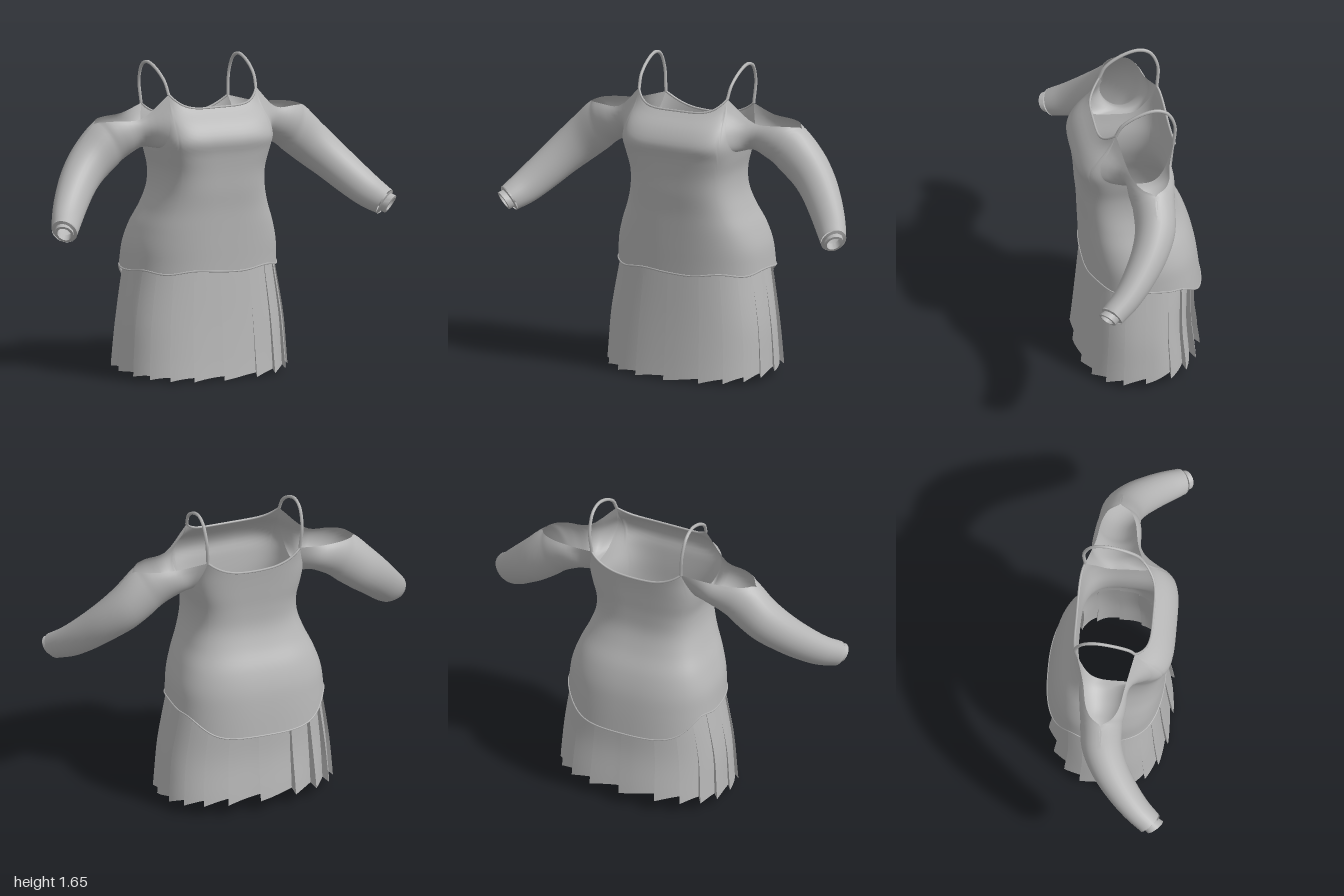
import * as THREE from 'three';
import { mergeVertices, toCreasedNormals } from 'three/addons/utils/BufferGeometryUtils.js';

const V = (x, y, z) => new THREE.Vector3(x, y, z);
const lerp = THREE.MathUtils.lerp;
const spow = (a, p) => Math.sign(a) * Math.pow(Math.abs(a), p);

// smooth interpolation in rows of [y, a, b, ...], sorted by y
function profile(rows, y) {
  if (y <= rows[0][0]) return rows[0].slice(1);
  for (let i = 1; i < rows.length; i++) {
    if (y > rows[i][0]) continue;
    const t = (y - rows[i - 1][0]) / (rows[i][0] - rows[i - 1][0]);
    return rows[i].slice(1).map((v, k) => {
      const at = (j) => rows[Math.min(Math.max(j, 0), rows.length - 1)];
      const slope = (j) => (at(j + 1)[k + 1] - at(j - 1)[k + 1]) / (at(j + 1)[0] - at(j - 1)[0]);
      const h = rows[i][0] - rows[i - 1][0], t2 = t * t, t3 = t2 * t;
      return (2 * t3 - 3 * t2 + 1) * at(i - 1)[k + 1] + (t3 - 2 * t2 + t) * h * slope(i - 1)
        + (3 * t2 - 2 * t3) * v + (t3 - t2) * h * slope(i);
    });
  }
  return rows[rows.length - 1].slice(1);
}

// surface through columns of points
function loft(columns, flip = false, crease = 0) {
  const n = columns[0].length, pos = [], idx = [];
  columns.forEach((c) => c.forEach((p) => pos.push(p.x, p.y, p.z)));
  for (let i = 0; i < columns.length - 1; i++) for (let j = 0; j < n - 1; j++) {
    const a = i * n + j, b = a + n;
    if (flip) idx.push(a, a + 1, b, b, a + 1, b + 1);
    else idx.push(a, b, a + 1, b, b + 1, a + 1);
  }
  let g = new THREE.BufferGeometry();
  g.setAttribute('position', new THREE.Float32BufferAttribute(pos, 3));
  g.setIndex(idx);
  g = mergeVertices(g, 1e-5);
  g.computeVertexNormals();
  return crease ? toCreasedNormals(g, crease) : g;
}

// bodice: y, half width, front z, back z, squareness
const BODY = [
  [0.42, 0.425, 0.275, -0.338, 0.8], [0.6, 0.412, 0.28, -0.318, 0.78], [0.7, 0.4, 0.284, -0.3, 0.75],
  [0.8, 0.367, 0.288, -0.265, 0.7], [0.9, 0.323, 0.293, -0.212, 0.66], [1.0, 0.292, 0.303, -0.176, 0.62],
  [1.1, 0.286, 0.31, -0.17, 0.58], [1.2, 0.305, 0.322, -0.175, 0.52], [1.27, 0.316, 0.335, -0.18, 0.5],
  [1.35, 0.312, 0.295, -0.188, 0.5], [1.43, 0.303, 0.215, -0.2, 0.5], [1.51, 0.3, 0.17, -0.2, 0.5],
];
const SKIRT = [
  [0.0, 0.465, 0.315, -0.315, 0.8], [0.1, 0.46, 0.305, -0.308, 0.8], [0.3, 0.445, 0.288, -0.288, 0.8],
  [0.57, 0.4, 0.268, -0.285, 0.78], [0.72, 0.372, 0.255, -0.25, 0.75],
];
function section(rows, a, y, off = 0) {
  const [w, zf, zb, p] = profile(rows, y);
  return V((w + off) * spow(Math.cos(a), p), y, (zf + zb) / 2 + ((zf - zb) / 2 + off) * spow(Math.sin(a), p));
}

const FRONT = 0.74, BACK = -0.78;       // angles where the straps meet the body
const FRONT_Y = 1.505, BACK_Y = 1.415;
function rimHeight(a) {
  const s = Math.sin(a), c = Math.abs(Math.cos(a));
  const side = Math.asin(s);
  if (side >= FRONT) return 1.43 + (FRONT_Y - 1.43) * Math.pow(c / Math.cos(FRONT), 2.5);
  if (side <= BACK) return 1.335 + (BACK_Y - 1.335) * Math.pow(c / Math.cos(BACK), 1.3);
  const u = (FRONT - side) / (FRONT - BACK);
  return lerp(FRONT_Y, BACK_Y, u) - 0.24 * Math.pow(Math.max(0, Math.sin(Math.PI * u)), 0.7);
}
function hemHeight(a) {
  const k = THREE.MathUtils.smoothstep(-Math.sin(a), 0.35, 1);
  return 0.575 - 0.125 * k + 0.008 * Math.sin(7 * a + 1) * (1 - k);
}
const span = (a, b, n) => Array.from({ length: n + 1 }, (_, i) => lerp(a, b, i / n));
const rimPoints = (a, b, n) => span(a, b, n).map((t) => section(BODY, t, rimHeight(t)));

// sleeve sections: top x, y, bottom x, y, centre z, half depth, opening angle
const SLEEVE = [
  [0.41, 1.43, 0.36, 1.215, -0.01, 0.13, 1.0], [0.53, 1.41, 0.43, 1.18, -0.01, 0.122, 0.8],
  [0.585, 1.385, 0.47, 1.155, -0.01, 0.115, 0.5], [0.62, 1.355, 0.51, 1.12, -0.01, 0.11, 0],
  [0.71, 1.265, 0.6, 1.05, 0.0, 0.105, 0], [0.8, 1.165, 0.68, 0.985, 0.045, 0.095, 0],
  [0.885, 1.06, 0.765, 0.905, 0.12, 0.083, 0], [0.95, 0.975, 0.84, 0.84, 0.2, 0.072, 0],
  [0.995, 0.915, 0.9, 0.805, 0.275, 0.064, 0],
];
const CUFF = [
  [0.995, 0.915, 0.9, 0.805, 0.275, 0.064, 0], [0.985, 0.9, 0.915, 0.82, 0.28, 0.047, 0],
  [1.0, 0.89, 0.93, 0.81, 0.305, 0.05, 0], [0.992, 0.88, 0.94, 0.82, 0.307, 0.036, 0],
  [0.965, 0.9, 0.915, 0.84, 0.265, 0.036, 0],
];
const ARC = 28;
function rings(rows, direction) {
  const mid = rows.map((r) => V((r[0] + r[2]) / 2, (r[1] + r[3]) / 2, r[4]));
  return rows.map((r, i) => {
    const t = direction || mid[Math.min(i + 1, rows.length - 1)].clone().sub(mid[Math.max(i - 1, 0)]);
    const up = V((r[0] - r[2]) / 2, (r[1] - r[3]) / 2, 0);
    const side = t.clone().cross(up).normalize().multiplyScalar(r[5]);
    return span(r[6], Math.PI * 2 - r[6], ARC).map((f) =>
      mid[i].clone().addScaledVector(up, Math.cos(f)).addScaledVector(side, Math.sin(f)));
  });
}
const columnsOf = (list) => list[0].map((_, j) => list.map((r) => r[j]));

export function createModel() {
  const group = new THREE.Group();
  const cloth = new THREE.MeshStandardMaterial({ color: 0xb6b6b6, side: THREE.DoubleSide });
  cloth.name = 'grey cloth';
  const add = (name, geometry) => {
    const m = new THREE.Mesh(geometry, cloth);
    m.name = name;
    group.add(m);
  };
  const tube = (points, r, n = 32) =>
    new THREE.TubeGeometry(new THREE.CatmullRomCurve3(points), n, r, 6, false);

  // bodice, with columns placed exactly on the strap corners
  const PI = Math.PI;
  const angles = [
    ...span(BACK, FRONT, 28).slice(0, -1), ...span(FRONT, PI - FRONT, 24).slice(0, -1),
    ...span(PI - FRONT, PI - BACK, 28).slice(0, -1), ...span(PI - BACK, PI * 2 + BACK, 24),
  ];
  add('bodice', loft(angles.map((a) =>
    span(rimHeight(a), hemHeight(a), 40).map((y) => section(BODY, a, y)))));
  add('frontNeckBinding', tube(rimPoints(FRONT, PI - FRONT, 16), 0.006));
  add('backNeckBinding', tube(rimPoints(PI - BACK, PI * 2 + BACK, 16), 0.006));
  const hemLine = span(0, PI * 2, 72).slice(0, -1).map((a) => section(BODY, a, hemHeight(a)));
  add('bodiceHem', new THREE.TubeGeometry(new THREE.CatmullRomCurve3(hemLine, true), 100, 0.005, 5, true));

  // sleeves open over the shoulder, cuffs and straps
  for (const s of [1, -1]) {
    const label = s > 0 ? 'left' : 'right';
    const flipX = (p) => V(p.x * s, p.y, p.z);
    const armhole = rimPoints(FRONT, BACK, ARC);
    const sleeve = columnsOf([armhole, ...rings(SLEEVE)]).map((c) =>
      new THREE.CatmullRomCurve3(c, false, 'centripetal').getPoints(36).map(flipX));
    add(label + 'Sleeve', loft(sleeve, s < 0));
    const cuff = columnsOf(rings(CUFF, V(0.06, -0.08, 0.08))).map((c) => c.map(flipX));
    add(label + 'Cuff', loft(cuff, s < 0, 0.8));

    const strap = [
      armhole[0], V(0.263, 1.565, 0.108), V(0.268, 1.625, 0.02), V(0.27, 1.648, -0.07),
      V(0.27, 1.625, -0.13), V(0.266, 1.54, -0.17), armhole[ARC],
    ];
    add(label + 'Strap', tube(strap.map(flipX), 0.009, 40));
  }

  // knife-pleated skirt: each pleat swells outward, then folds back sharply
  const PLEATS = 20, STEPS = 6, pleats = [];
  for (let i = 0; i < PLEATS; i++) for (let k = 0; k <= STEPS; k++) {
    const f = k / STEPS;
    const a = ((i + f * 1.08) / PLEATS) * PI * 2;
    const s = Math.sin(a), back = Math.max(0, -s);
    const hem = 0.022 + 0.035 * (1 - Math.abs(s)) + 0.065 * back - 0.02 * f * f;
    pleats.push(span(0.72, hem, 18).map((y, j) =>
      section(SKIRT, a, y, (f - 0.6) * (0.018 + 0.028 * back) * (0.25 + 0.75 * j / 18))));
  }
  pleats.push(pleats[0]);
  add('pleatedSkirt', loft(pleats, false, 0.7));

  return group;
}
